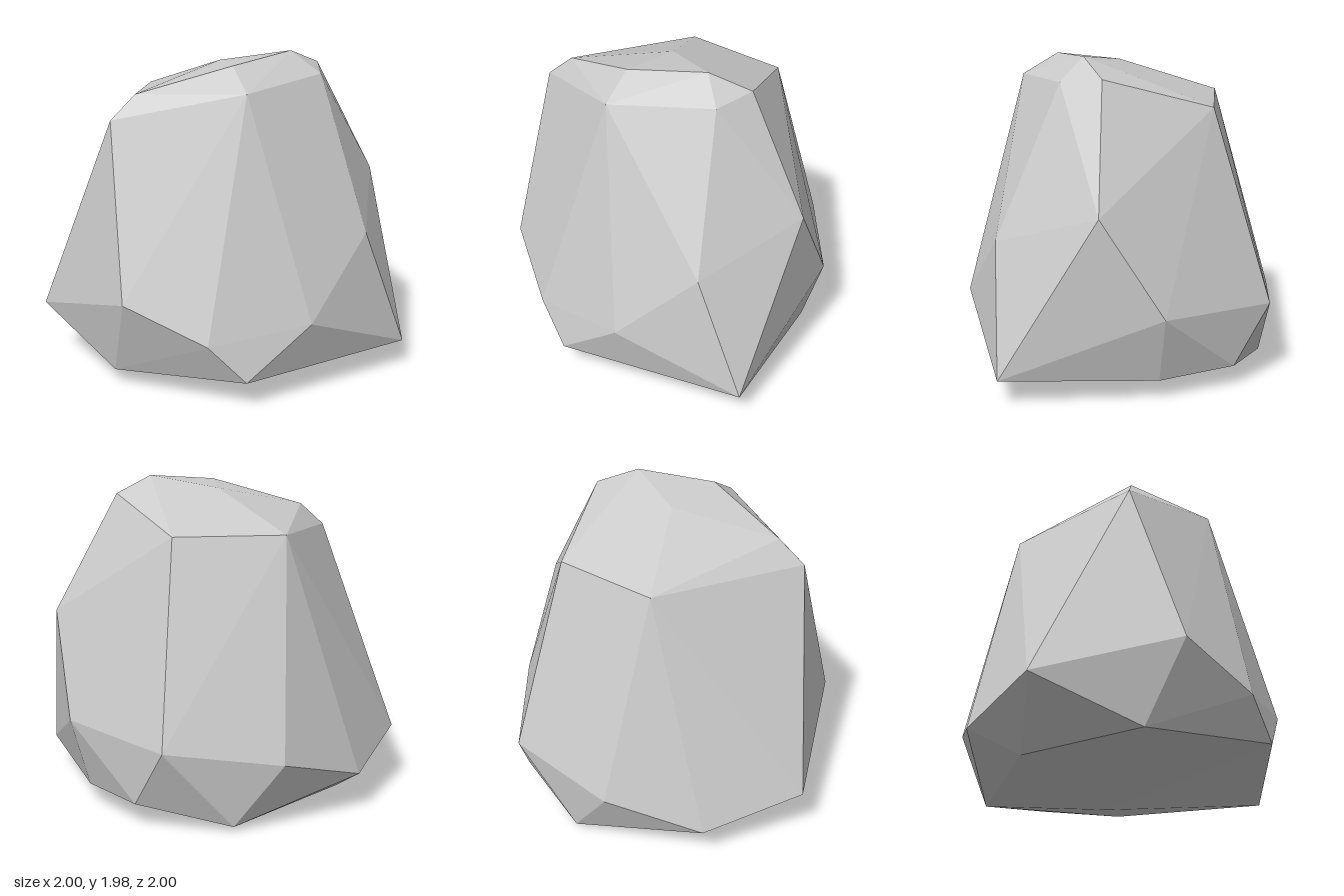
import * as THREE from 'three';
import { ConvexGeometry } from 'three/addons/geometries/ConvexGeometry.js';

// Chipped corners of the boulder, grouped by height
const underside = [
  [-0.07, 0, -0.32], [-0.82, 0.03, -0.47], [-0.68, 0.05, 0.47],
  [-0.05, 0.1, 0.89], [0.09, 0.13, -0.88], [-0.41, 0.14, -0.88],
];
const waist = [
  [1, 0.17, -0.6], [0.76, 0.17, 0.56], [-0.99, 0.23, 0.36], [-0.7, 0.37, 0.93],
  [-1, 0.4, -0.24], [0.61, 0.4, 0.73], [0.92, 0.48, 0.18], [-0.66, 0.5, -0.86],
  [0.11, 0.55, -1], [0.17, 0.61, 1],
];
const shoulders = [
  [0.9, 0.93, -0.32], [0.47, 1.16, -0.87], [-0.12, 1.64, 0.82],
  [-0.71, 1.68, 0], [-0.39, 1.68, -0.59],
];
const crown = [
  [-0.08, 1.78, 0.66], [0.49, 1.81, 0.3], [0.49, 1.85, -0.34], [0.3, 1.88, -0.52],
  [-0.04, 1.91, 0.01], [0.29, 1.94, 0.22], [0.31, 1.98, -0.26],
];

export function createModel() {
  const group = new THREE.Group();
  group.name = 'rock';

  // One faceted convex stone stretched over all corners
  const corners = [...underside, ...waist, ...shoulders, ...crown].map((p) => new THREE.Vector3(...p));
  const boulder = new THREE.Mesh(
    new ConvexGeometry(corners),
    new THREE.MeshStandardMaterial({ color: 0xcccccc, flatShading: true })
  );
  boulder.name = 'boulder';
  group.add(boulder);
  return group;
}
